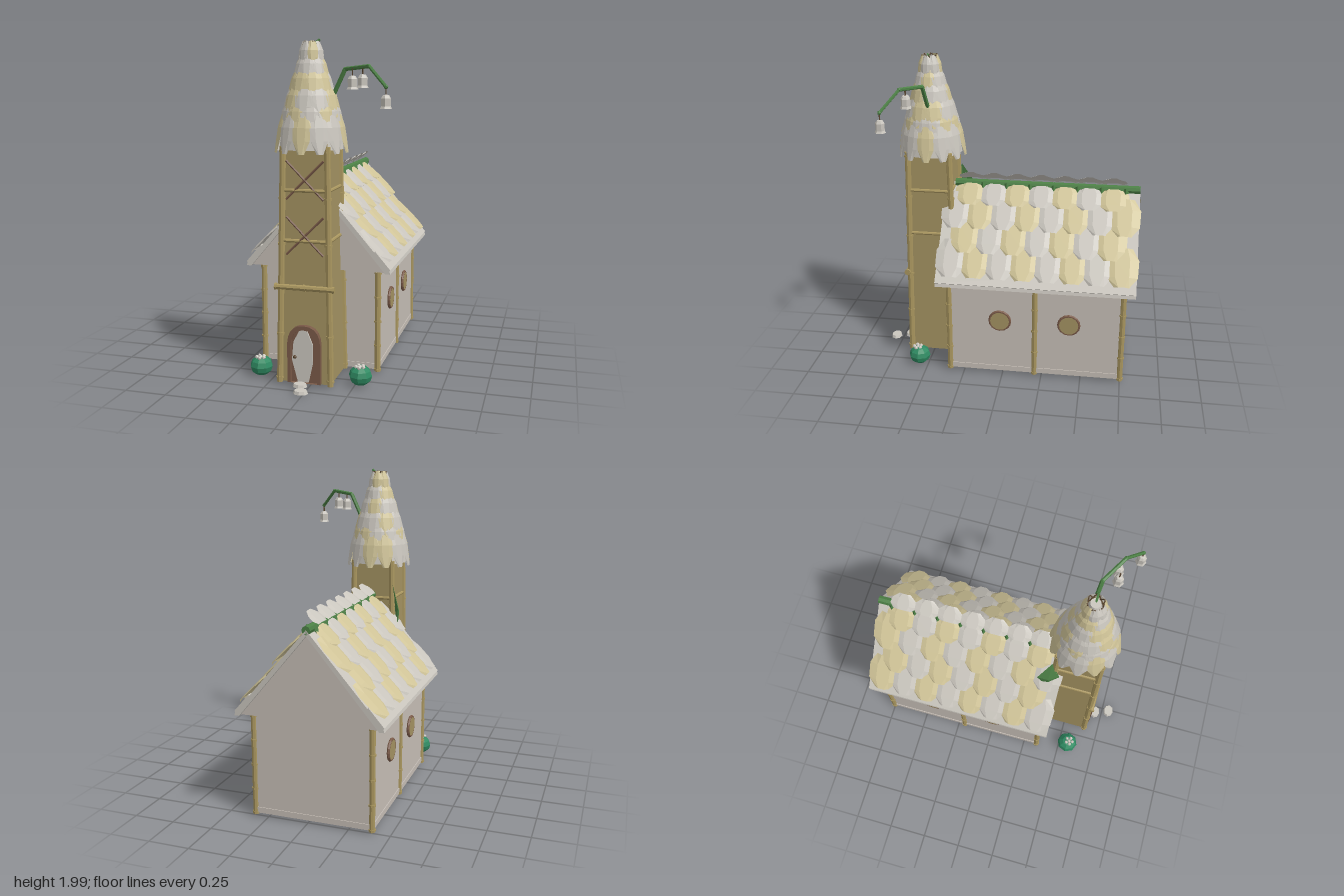
import * as THREE from 'three';

const V = (x, y, z) => new THREE.Vector3(x, y, z);
const mat = (name, color, flatShading = true) => {
  const m = new THREE.MeshStandardMaterial({ color, flatShading, side: THREE.DoubleSide });
  m.name = name;
  return m;
};

export function createModel() {
  const M = {
    wall: mat('plaster', 0xc6beb6), grey: mat('grey scale', 0xcac6be), straw: mat('straw scale', 0xd0c498),
    tan: mat('tower clay', 0xa39261), bamboo: mat('bamboo', 0xa9965f), vine: mat('vine green', 0x4c8045),
    bush: mat('bush green', 0x2f8a62), brown: mat('door brown', 0x7a5a48), dark: mat('dark wood', 0x5a4630),
  };
  const root = new THREE.Group();
  root.name = 'cottage';
  const group = (name) => { const g = new THREE.Group(); g.name = name; root.add(g); return g; };
  const add = (name, geo, m, pos = [0, 0, 0], parent = root) => {
    const mesh = new THREE.Mesh(geo, m);
    mesh.name = name;
    mesh.position.set(...pos);
    parent.add(mesh);
    return mesh;
  };
  // round rod between two points
  const rod = (name, a, b, r, m, parent = root, sides = 8) => {
    const mesh = add(name, new THREE.CylinderGeometry(r, r, a.distanceTo(b), sides), m, [0, 0, 0], parent);
    mesh.position.copy(a).lerp(b, 0.5);
    mesh.quaternion.setFromUnitVectors(V(0, 1, 0), b.clone().sub(a).normalize());
    return mesh;
  };
  // bamboo pole with raised nodes
  const pole = (name, a, b, r, nodes, parent) => {
    rod(name, a, b, r, M.bamboo, parent);
    const d = b.clone().sub(a).normalize().multiplyScalar(0.006);
    for (let i = 0; i <= nodes; i++) {
      const p = a.clone().lerp(b, 0.02 + 0.96 * i / nodes);
      rod(name + 'Node', p.clone().sub(d), p.clone().add(d), r * 1.22, M.bamboo, parent);
    }
  };
  // folded scale from rows of [v, half width, lift], with a raised middle
  const scaleGeo = (rows, bulge) => {
    const pos = [], idx = [];
    rows.forEach(([v, w, lift], i) => {
      for (const [s, k] of [[-1, 0], [-0.45, 1], [0.45, 1], [1, 0]]) pos.push(s * w, v, lift + k * bulge);
      if (i) for (let j = 0; j < 3; j++) {
        const a = i * 4 - 4 + j;
        idx.push(a, a + 1, a + 4, a + 1, a + 5, a + 4);
      }
    });
    const g = new THREE.BufferGeometry();
    g.setAttribute('position', new THREE.Float32BufferAttribute(pos, 3));
    g.setIndex(idx);
    g.computeVertexNormals();
    return g;
  };
  const place = (mesh, p, u, v) => {
    mesh.quaternion.setFromRotationMatrix(new THREE.Matrix4().makeBasis(u, v, u.clone().cross(v)));
    mesh.position.copy(p);
  };

  // ---- house body
  const CX = -0.03, house = group('house');
  add('walls', new THREE.BoxGeometry(0.73, 0.62, 1.09), M.wall, [CX, 0.335, -0.21], house);
  add('baseTrim', new THREE.BoxGeometry(0.74, 0.035, 1.1), M.wall, [CX, 0.043, -0.21], house);
  for (const s of [-1, 1]) {
    for (const z of [0.34, -0.205, -0.75]) {
      pole('cornerPost', V(CX + s * 0.362, 0.015, z), V(CX + s * 0.362, 0.64, z), 0.018, 4, house);
    }
    for (const z of [0.015, -0.42]) {
      const x = CX + s * 0.372;
      add('windowRim', new THREE.TorusGeometry(0.062, 0.011, 6, 16), M.brown, [x, 0.39, z], house).rotation.y = Math.PI / 2;
      add('windowPane', new THREE.CylinderGeometry(0.06, 0.06, 0.02, 16), M.tan, [x, 0.39, z], house).rotation.z = Math.PI / 2;
    }
  }

  // ---- gabled roof
  const roof = group('roof');
  const gable = new THREE.Shape([[-0.43, 0.645], [0.43, 0.645], [0, 1.15]].map((p) => new THREE.Vector2(...p)));
  add('gable', new THREE.ExtrudeGeometry(gable, { depth: 1.2, bevelEnabled: false }), M.wall, [CX, 0, -0.805], roof);
  const slabs = new THREE.Shape([[-0.45, 0.64], [-0.42, 0.64], [0, 1.14], [0.42, 0.64], [0.45, 0.64], [0.445, 0.66], [0, 1.175], [-0.445, 0.66]]
    .map((p) => new THREE.Vector2(...p)));
  add('roofSlabs', new THREE.ExtrudeGeometry(slabs, { depth: 1.23, bevelEnabled: false }), M.grey, [CX, 0, -0.82], roof);
  const tile = (h) => scaleGeo([[0, 0.045, 0.022], [0.25 * h, 0.095, 0.018], [0.7 * h, 0.1, 0.01], [h, 0.06, 0.004]], 0.014);
  const longTile = tile(0.25), topTile = tile(0.165);
  for (const s of [-1, 1]) {
    const u = V(0, 0, -s), v = V(-s * 0.445, 0.515, 0).normalize();
    for (let r = 0; r < 4; r++) {
      const y = 0.69 + 0.12 * r, odd = r % 2;
      for (let i = 0; i < 8 - odd; i++) {
        const m = (i + odd) % 2 ? M.straw : M.grey;
        const t = add('roofScale', r === 3 ? topTile : longTile, m, [0, 0, 0], roof);
        place(t, V(CX + s * 0.445 * (1.175 - y) / 0.515, y, 0.32 - 0.15 * i - 0.075 * odd), u, v);
      }
    }
    // plain starter course along the eave
    const e = add('eaveBoard', new THREE.BoxGeometry(1.23, 0.14, 0.012), M.grey, [0, 0, 0], roof);
    place(e, V(CX + s * 0.4, 0.715, -0.205), u, v);
  }
  rod('ridgeBeam', V(CX, 1.172, 0.35), V(CX, 1.172, -0.82), 0.026, M.vine, roof);
  const cap = scaleGeo([[0, 0.06, 0], [0.03, 0.085, 0], [0.07, 0.075, 0], [0.105, 0.035, 0]], 0.008);
  for (let i = 0; i < 7; i++) {
    const z = 0.245 - 0.15 * i;
    place(add('ridgeScale', cap, M.grey, [0, 0, 0], roof), V(CX - 0.035, 1.188, z), V(0, 0, 1), V(0.8, 0.6, 0));
    for (const s of [-1, 1]) {
      const leaf = add('ridgeLeaf', new THREE.ConeGeometry(0.028, 0.05, 4), M.vine, [CX + s * 0.028, 1.152, z - 0.075], roof);
      leaf.rotation.set(Math.PI, 0, -s * 0.7);
    }
  }

  // ---- tower shaft
  const TZ = 0.495, tower = group('tower');
  const half = (y) => 0.155 - 0.0175 * y;
  const R2 = Math.SQRT2;
  add('shaft', new THREE.CylinderGeometry(half(1.42) * R2, half(0.02) * R2, 1.4, 4).rotateY(Math.PI / 4), M.tan, [CX, 0.72, TZ], tower);
  const corner = (sx, sz, y) => V(CX + sx * half(y), y, TZ + sz * half(y));
  for (const sx of [-1, 1]) for (const sz of [-1, 1]) {
    pole('towerPost', corner(sx, sz, 0.015), corner(sx, sz, 1.4), 0.019, 5, tower);
  }
  for (const y of [0.86, 1.15]) {
    for (const [a, b] of [[[-1, 1], [1, 1]], [[1, 1], [1, -1]], [[1, -1], [-1, -1]], [[-1, -1], [-1, 1]]]) {
      rod('crossRail', corner(...a, y), corner(...b, y), 0.011, M.bamboo, tower);
    }
  }
  pole('doorBeam', V(CX - 0.18, 0.59, TZ + 0.158), V(CX + 0.18, 0.59, TZ + 0.158), 0.017, 2, tower);
  for (const y of [1.21, 0.89]) for (const s of [-1, 1]) {
    const z = TZ + half(y) + 0.004;
    rod('xBrace', V(CX - s * 0.11, y - 0.11, z + 0.002), V(CX + s * 0.11, y + 0.11, z - 0.002), 0.007, M.brown, tower, 5);
  }

  // ---- arched door
  const door = group('door');
  const arch = (w, h) => {
    const s = new THREE.Shape();
    s.moveTo(-w, 0).lineTo(w, 0).lineTo(w, h * 0.68);
    s.quadraticCurveTo(w * 0.95, h, 0, h).quadraticCurveTo(-w * 0.95, h, -w, h * 0.68);
    return s;
  };
  const frame = arch(0.1, 0.345);
  frame.holes.push(arch(0.08, 0.32));
  const thick = (depth) => ({ depth, bevelEnabled: false, curveSegments: 5 });
  add('doorFrame', new THREE.ExtrudeGeometry(frame, thick(0.035)), M.brown, [CX, 0.025, 0.64], door);
  add('doorBack', new THREE.ExtrudeGeometry(arch(0.085, 0.325), thick(0.015)), M.brown, [CX, 0.025, 0.64], door);
  const leafShape = new THREE.Shape([[-0.04, 0], [0.025, 0], [0.052, 0.12], [0.05, 0.23], [0.015, 0.315], [-0.025, 0.315], [-0.065, 0.24], [-0.075, 0.13]]
    .map((p) => new THREE.Vector2(...p)));
  add('doorLeaf', new THREE.ExtrudeGeometry(leafShape, thick(0.009)), M.grey, [CX, 0.03, 0.655], door);
  add('doorKnob', new THREE.IcosahedronGeometry(0.011, 1), M.dark, [CX - 0.055, 0.18, 0.671], door);

  // ---- bell-shaped tower roof with rings of scales
  const spire = group('spire');
  const profile = [[0.0, 1.38], [0.19, 1.38], [0.165, 1.55], [0.115, 1.7], [0.075, 1.82], [0.04, 1.9], [0.03, 1.97], [0, 1.97]];
  add('spireCore', new THREE.LatheGeometry(profile.map((p) => new THREE.Vector2(...p)), 12), M.grey, [CX, 0, TZ], spire);
  // [bottom y, bottom radius, top y, top radius, count]
  [[1.36, 0.208, 1.6, 0.155, 12], [1.46, 0.188, 1.68, 0.128, 12], [1.56, 0.168, 1.76, 0.1, 10], [1.66, 0.136, 1.85, 0.07, 9],
    [1.76, 0.104, 1.92, 0.045, 8], [1.85, 0.07, 1.985, 0.04, 7]].forEach(([y0, r0, y1, r1, n], k) => {
    const h = Math.hypot(y1 - y0, r0 - r1), w = Math.PI * r0 / n;
    const geo = scaleGeo([[0, w * 0.35, 0], [h * 0.3, w * 0.9, 0.004], [h * 0.6, w, 0.008], [h, w * 0.55, 0]], 0.008);
    for (let i = 0; i < n; i++) {
      const a = (i + (k % 2) / 2) / n * Math.PI * 2;
      const out = (r, y) => V(CX + r * Math.sin(a), y, TZ + r * Math.cos(a));
      const p = out(r0, y0), v = out(r1, y1).sub(p).normalize();
      place(add('spireScale', geo, (i * 5 + k * 3) % 7 < 3 ? M.straw : M.grey, [0, 0, 0], spire), p, V(Math.cos(a), 0, -Math.sin(a)), v);
    }
  });
  for (let i = 0; i < 6; i++) for (const s of [-1, 1]) {
    const at = (a, r, y) => V(CX + r * Math.sin(a), y, TZ + r * Math.cos(a));
    const a = i * Math.PI / 3;
    rod('crownTwig', at(a, 0.08, 1.83), at(a + s * 1.5, 0.048, 1.985), 0.004, M.dark, spire, 5);
  }
  rod('tipSprout', V(CX, 1.96, TZ), V(0.02, 1.995, TZ), 0.007, M.vine, spire, 5);

  // ---- curling vine with hanging bell flowers
  const vine = group('flowerVine');
  const path = [V(0.09, 1.67, 0.485), V(0.17, 1.83, 0.5), V(0.33, 1.845, 0.595), V(0.445, 1.735, 0.685)];
  for (let i = 0; i < 3; i++) {
    rod('vineStem', path[i], path[i + 1], 0.013 - i * 0.0015, M.vine, vine, 6);
    add('vineJoint', new THREE.IcosahedronGeometry(0.013, 0), M.vine, path[i + 1].toArray(), vine);
  }
  const bell = new THREE.LatheGeometry([[0, 0.04], [0.018, 0.036], [0.028, 0.02], [0.027, -0.022], [0.034, -0.036], [0, -0.03]]
    .map((p) => new THREE.Vector2(...p)).reverse(), 6);
  for (const [x, y, z, top] of [[0.445, 1.655, 0.685, 1.735], [0.235, 1.755, 0.585, 1.835], [0.29, 1.762, 0.572, 1.84]]) {
    add('bellFlower', bell, M.grey, [x, y, z], vine);
    rod('flowerStalk', V(x, y + 0.03, z), V(x, top, z), 0.004, M.dark, vine, 5);
  }

  // ---- large leaf on the tower's side
  const leafGeo = new THREE.BufferGeometry();
  leafGeo.setAttribute('position', new THREE.Float32BufferAttribute(
    [-0.175, 1.25, 0.34, -0.235, 1.1, 0.265, -0.2, 0.85, 0.34, -0.18, 1.05, 0.395, -0.225, 1.07, 0.335], 3));
  leafGeo.setIndex([0, 1, 4, 1, 2, 4, 2, 3, 4, 3, 0, 4]);
  leafGeo.computeVertexNormals();
  add('sideLeaf', leafGeo, M.vine);

  // ---- bushes with buds, and stepping stones
  for (const x of [-0.335, 0.28]) {
    const g = group('bush');
    g.position.set(x, 0.065, 0.558);
    add('bushBody', new THREE.SphereGeometry(0.07, 8, 6), M.bush, [0, 0, 0], g).scale.y = 0.85;
    for (let i = 0; i < 6; i++) {
      const a = i * Math.PI * 0.4, r = i < 5 ? 0.023 : 0;
      add('bud', new THREE.IcosahedronGeometry(0.013, 0), M.grey, [r * Math.sin(a), 0.056, 0.012 + r * Math.cos(a)], g);
    }
  }
  for (const [x, z] of [[-0.045, 0.7], [-0.01, 0.795]]) {
    add('steppingStone', new THREE.CylinderGeometry(0.038, 0.045, 0.018, 8), M.grey, [x, 0.025, z]).scale.z = 0.8;
  }
  return root;
}
